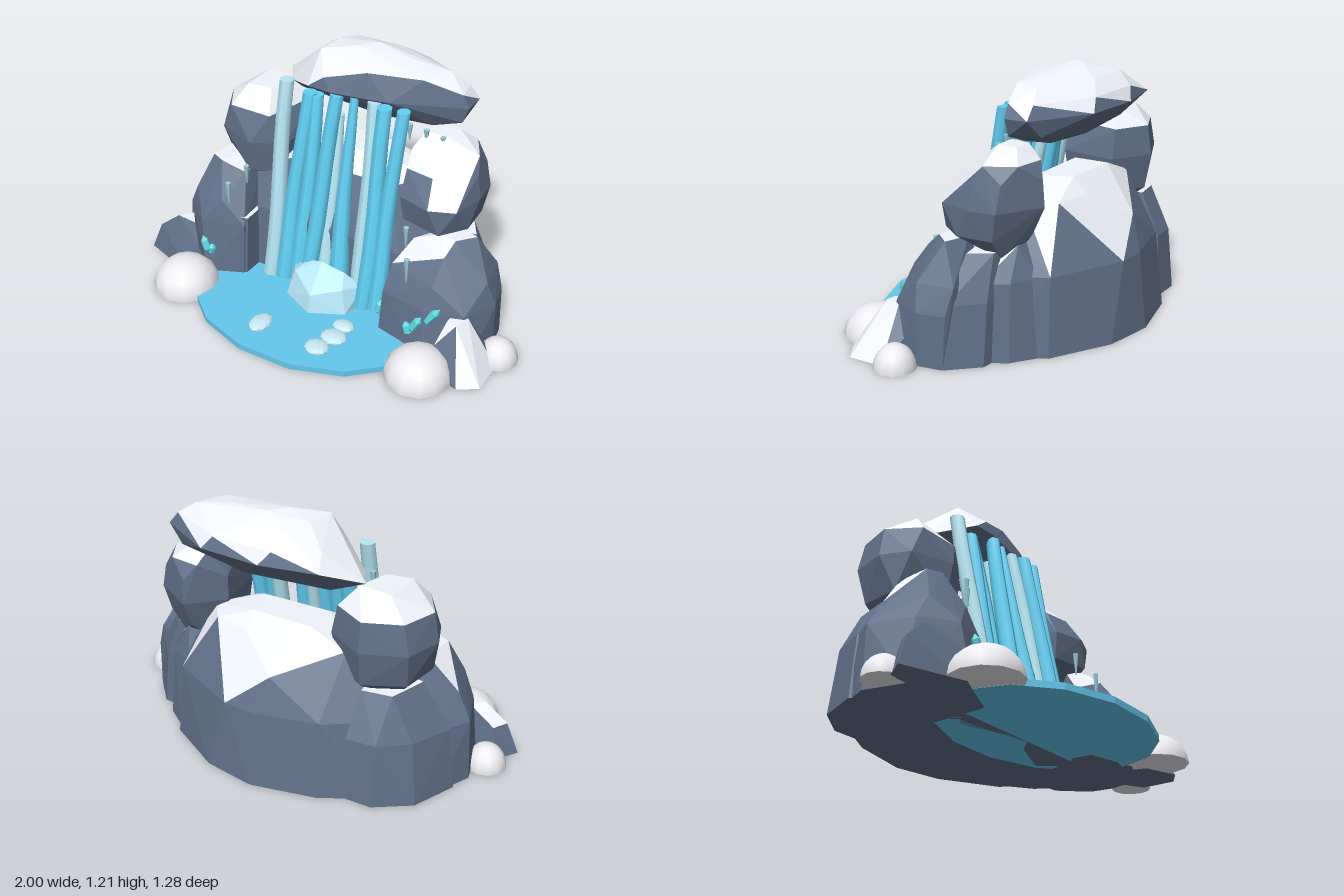
import * as THREE from 'three';
import { ConvexGeometry } from 'three/addons/geometries/ConvexGeometry.js';

const mat = (color, flatShading = true) => new THREE.MeshStandardMaterial({ color, flatShading });
const slate = mat(0x61718a), snow = mat(0xf0f4fc), pebble = mat(0xececf2, false);
const water = mat(0x60d0f4, false), paleWater = mat(0xb4e6f4, false), poolBlue = mat(0x64c8ec);
const foamWhite = mat(0xc8e8f2), ice = mat(0x9accd8), teal = mat(0x60e0e6), splashBlue = mat(0xb8e8fa);

export function createModel() {
  const model = new THREE.Group();
  const add = (name, geometry, material, x = 0, y = 0, z = 0) => {
    const mesh = new THREE.Mesh(geometry, material);
    mesh.name = name;
    mesh.position.set(x, y, z);
    model.add(mesh);
    return mesh;
  };

  // Faceted rock from level rings [y, [x, z], ...]; faces that look upward are snowy
  const rock = (name, rings, snowLine = 0.56) => {
    const points = rings.flatMap(([y, ...ring]) => ring.map(([x, z]) => new THREE.Vector3(x, y, z)));
    const hull = new ConvexGeometry(points);
    const p = hull.attributes.position, n = hull.attributes.normal;
    const sides = [], tops = [];
    for (let i = 0; i < p.count; i += 3) {
      const list = n.getY(i) > snowLine ? tops : sides;
      for (let k = i; k < i + 3; k++) list.push(p.getX(k), p.getY(k), p.getZ(k));
    }
    const geometry = new THREE.BufferGeometry();
    geometry.setAttribute('position', new THREE.Float32BufferAttribute([...sides, ...tops], 3));
    geometry.computeVertexNormals();
    geometry.addGroup(0, sides.length / 3, 0);
    geometry.addGroup(sides.length / 3, tops.length / 3, 1);
    add(name, geometry, [slate, snow]);
  };

  // Cliff behind the falls
  rock('backCliff', [
    [0, [-0.45, 0.07], [0.4, 0.07], [0.6, -0.22], [0.48, -0.44], [0.2, -0.6], [-0.05, -0.645], [-0.36, -0.58], [-0.6, -0.45], [-0.65, -0.2]],
    [0.36, [-0.43, 0.05], [0.35, 0.04], [0.55, -0.22], [0.45, -0.43], [0.1, -0.6], [-0.05, -0.605], [-0.35, -0.54], [-0.56, -0.4]],
    [0.52, [-0.5, -0.06], [-0.52, -0.3], [0.45, -0.25], [-0.1, -0.54]],
    [0.64, [-0.27, -0.06], [0.25, -0.08], [0.37, -0.25], [0.28, -0.37], [0.1, -0.41], [-0.15, -0.42], [-0.38, -0.36]],
    [0.71, [-0.2, -0.18], [0.15, -0.18], [0.1, -0.34], [-0.2, -0.35]],
  ], 0.52);

  // Lower flank rocks
  rock('lowerLeftRock', [
    [0, [-0.88, -0.1], [-0.83, 0.1], [-0.62, 0.26], [-0.44, 0.18], [-0.43, -0.1], [-0.6, -0.3], [-0.8, -0.28]],
    [0.3, [-0.87, -0.1], [-0.8, 0.1], [-0.65, 0.22], [-0.44, 0.16], [-0.46, -0.2], [-0.78, -0.25]],
    [0.42, [-0.8, -0.08], [-0.74, 0.12], [-0.56, 0.17], [-0.48, -0.15]],
    [0.53, [-0.5, 0.04], [-0.5, -0.12]],
    [0.585, [-0.68, 0.05], [-0.61, 0.08], [-0.55, -0.1], [-0.66, -0.12]],
  ]);
  rock('leftShoulderRock', [
    [0, [-0.85, -0.2], [-0.76, -0.41], [-0.6, -0.52], [-0.45, -0.52], [-0.45, -0.1], [-0.7, 0]],
    [0.3, [-0.82, -0.2], [-0.73, -0.39], [-0.6, -0.49], [-0.46, -0.5], [-0.45, -0.1]],
    [0.5, [-0.68, -0.2], [-0.62, -0.38], [-0.48, -0.4], [-0.45, -0.15]],
  ]);
  rock('innerLeftRock', [
    [0, [-0.55, 0.21], [-0.43, 0.17], [-0.42, -0.1], [-0.56, -0.1]],
    [0.34, [-0.54, 0.18], [-0.43, 0.14], [-0.43, -0.1], [-0.55, -0.1]],
  ]);
  rock('lowerRightRock', [
    [0, [0.34, 0.2], [0.6, 0.26], [0.8, 0.15], [0.84, 0], [0.82, -0.12], [0.5, -0.16], [0.32, 0]],
    [0.24, [0.35, 0.18], [0.58, 0.22], [0.76, 0.16], [0.84, 0], [0.81, -0.13], [0.45, -0.15]],
    [0.36, [0.36, 0.11], [0.6, 0.18], [0.8, 0.02], [0.77, -0.15]],
    [0.47, [0.42, 0.02], [0.61, 0.09]],
    [0.53, [0.55, 0], [0.63, 0.02], [0.7, -0.06], [0.58, -0.1]],
  ], 0.68);
  rock('rightShoulderRock', [
    [0, [0.82, -0.12], [0.7, -0.25], [0.4, -0.28], [0.4, -0.05]],
    [0.28, [0.79, -0.12], [0.67, -0.25], [0.4, -0.28]],
    [0.48, [0.66, -0.14], [0.6, -0.24], [0.42, -0.25], [0.45, -0.1]],
  ]);
  rock('rightBackRock', [
    [0, [0.68, -0.2], [0.61, -0.32], [0.5, -0.4], [0.3, -0.35]],
    [0.35, [0.65, -0.2], [0.58, -0.31], [0.45, -0.38], [0.3, -0.3]],
    [0.5, [0.52, -0.24], [0.5, -0.3], [0.35, -0.3]],
  ]);

  // Upper boulders either side of the falls
  rock('upperLeftBoulder', [
    [0.43, [-0.5, -0.14], [-0.58, -0.25], [-0.42, -0.28]],
    [0.53, [-0.69, -0.12], [-0.5, 0.01], [-0.36, -0.06], [-0.33, -0.32], [-0.48, -0.41], [-0.66, -0.32]],
    [0.7, [-0.735, -0.18], [-0.68, -0.04], [-0.48, 0.03], [-0.33, -0.05], [-0.29, -0.33], [-0.48, -0.44], [-0.68, -0.36]],
    [0.84, [-0.71, -0.18], [-0.62, -0.03], [-0.4, -0.03], [-0.32, -0.33], [-0.48, -0.42], [-0.65, -0.35]],
    [0.935, [-0.57, -0.11], [-0.45, -0.13], [-0.4, -0.28], [-0.56, -0.3]],
  ]);
  rock('upperRightBoulder', [
    [0.44, [0.5, -0.15], [0.55, -0.25], [0.4, -0.25]],
    [0.54, [0.35, 0], [0.55, 0.04], [0.64, -0.08], [0.63, -0.25], [0.45, -0.34], [0.32, -0.2]],
    [0.67, [0.34, 0.02], [0.5, 0.06], [0.62, 0.01], [0.66, -0.15], [0.65, -0.28], [0.45, -0.4], [0.3, -0.25]],
    [0.79, [0.34, -0.04], [0.48, -0.02], [0.64, -0.16], [0.62, -0.29], [0.45, -0.39], [0.3, -0.25]],
    [0.86, [0.33, -0.1], [0.62, -0.2], [0.55, -0.33], [0.4, -0.35]],
    [0.92, [0.36, -0.18], [0.47, -0.18], [0.48, -0.28], [0.38, -0.28]],
  ]);

  // Overhanging cap stone with a steep front
  rock('capStone', [
    [0.88, [0, -0.3], [0.2, -0.28]],
    [0.92, [-0.34, -0.24], [0.1, -0.2], [0.36, -0.24], [0.1, -0.4], [-0.3, -0.36]],
    [0.97, [-0.45, -0.32], [-0.38, -0.2], [0.5, -0.25], [0.45, -0.38]],
    [1.05, [-0.2, -0.06], [-0.08, -0.055], [0.2, -0.11], [0.53, -0.25], [0.53, -0.36], [0.25, -0.52], [-0.05, -0.54], [-0.32, -0.49]],
    [1.11, [-0.12, -0.07], [0.5, -0.25], [0.48, -0.36], [0.2, -0.5], [-0.1, -0.51], [-0.28, -0.4]],
    [1.165, [0.08, -0.12], [0.33, -0.19], [0.4, -0.33], [0.1, -0.44], [-0.15, -0.43]],
    [1.19, [-0.2, -0.18], [-0.18, -0.32], [0.22, -0.3]],
    [1.21, [-0.05, -0.26], [0.02, -0.34]],
  ], 0.45);

  // Small rocks at the outer corners
  rock('smallLeftRock', [
    [0, [-1, 0.2], [-0.93, 0.1], [-0.65, 0.08], [-0.6, 0.25], [-0.7, 0.3]],
    [0.15, [-0.94, 0.19], [-0.9, 0.12], [-0.66, 0.25]],
    [0.24, [-0.83, 0.18], [-0.78, 0.12], [-0.72, 0.19]],
  ]);
  rock('smallRightRock', [
    [0, [0.66, 0.3], [0.83, 0.36], [0.92, 0.3], [0.92, 0.13], [0.75, 0.04], [0.62, 0.15]],
    [0.12, [0.67, 0.27], [0.79, 0.29], [0.66, 0.1], [0.8, 0.07]],
    [0.23, [0.7, 0.21], [0.75, 0.22], [0.77, 0.14], [0.7, 0.12]],
  ], 0.5);

  // Smooth half-round stones
  for (const [x, z, r, h] of [[-0.66, 0.36, 0.165, 0.15], [0.64, 0.36, 0.16, 0.145], [-0.905, 0.04, 0.095, 0.11], [0.9, 0.07, 0.095, 0.11]]) {
    add('roundStone', new THREE.SphereGeometry(1, 12, 5, 0, Math.PI * 2, 0, Math.PI / 2), pebble, x, 0, z).scale.set(r, h, r);
    add('roundStoneBase', new THREE.CircleGeometry(r, 12).rotateX(Math.PI / 2), pebble, x, 0.001, z);
  }

  // Pool
  const pool = add('pool', new THREE.CylinderGeometry(1, 1, 0.03, 14).rotateY(-0.2), poolBlue, -0.03, 0.015, 0.22);
  pool.scale.set(0.61, 1, 0.425);

  // Falling streams: [top x, bottom x, top y, top radius, bottom radius, pale]
  const streams = [
    [-0.325, -0.315, 1.04, 0.035, 0.044, 1], [-0.215, -0.25, 1.0, 0.034, 0.05, 0], [-0.175, -0.175, 0.99, 0.032, 0.046, 0],
    [-0.05, -0.115, 1.04, 0.034, 0.046, 0], [0.025, 0.05, 1.04, 0.02, 0.054, 0], [0.13, 0.16, 1.04, 0.034, 0.04, 1],
    [0.2, 0.21, 1.04, 0.036, 0.045, 0], [0.28, 0.265, 1.04, 0.032, 0.045, 0], [-0.06, -0.03, 0.92, 0.026, 0.045, 1],
  ];
  streams.forEach(([topX, bottomX, topY, topR, bottomR, pale], i) => {
    const height = topY - 0.05;
    const geometry = new THREE.CylinderGeometry(topR, bottomR, height, 8, 6);
    const p = geometry.attributes.position;
    for (let k = 0; k < p.count; k++) {
      const t = p.getY(k) / height + 0.5;
      const sway = 0.006 * Math.sin(t * 6 + i * 2);
      p.setX(k, p.getX(k) + bottomX + (topX - bottomX) * t + sway);
      p.setZ(k, p.getZ(k) + 0.11 - 0.19 * t - 0.014 * (i % 3));
    }
    geometry.computeVertexNormals();
    add('stream', geometry, pale ? paleWater : water, 0, 0.05 + height / 2, 0);
  });

  // Splash mound where the water lands
  const splash = [[-0.21, 0.03, 0.06], [-0.17, 0.03, 0.2], [0, 0.03, 0.28], [0.16, 0.03, 0.2], [0.19, 0.03, 0.06],
    [-0.2, 0.12, 0.08], [-0.14, 0.16, 0.17], [0, 0.12, 0.26], [0.13, 0.15, 0.18], [0.19, 0.13, 0.08],
    [-0.1, 0.2, 0.11], [-0.02, 0.225, 0.12], [0.1, 0.2, 0.11]];
  add('splash', new ConvexGeometry(splash.map((v) => new THREE.Vector3(...v))), splashBlue);

  // Foam patches on the pool
  for (const [x, z, a, b] of [[-0.15, 0.46, 0.05, 0.07], [0.2, 0.28, 0.055, 0.045], [0.2, 0.37, 0.065, 0.055], [0.17, 0.47, 0.06, 0.055]]) {
    add('foam', new THREE.IcosahedronGeometry(1, 1), foamWhite, x, 0.035, z).scale.set(a, 0.02, b);
  }

  // Icicles: [x, top y, z, length]
  const icicles = [[-0.48, 0.93, -0.17, 0.08], [-0.4, 0.95, -0.16, 0.09], [0.29, 0.95, -0.15, 0.08], [0.37, 0.94, -0.16, 0.07],
    [0.45, 0.92, -0.17, 0.07], [-0.53, 0.52, 0.15, 0.14], [-0.46, 0.61, 0.09, 0.1], [0.41, 0.56, 0.08, 0.11], [0.46, 0.45, 0.16, 0.13]];
  for (const [x, y, z, length] of icicles) {
    add('icicle', new THREE.CylinderGeometry(0.014, 0.003, length, 6), ice, x, y - length / 2, z);
  }

  // Crystals: [x, y, z, half height, tilt]
  const crystals = [[-0.6, 0.2, 0.265, 0.05, 0.35], [-0.58, 0.17, 0.25, 0.035, -0.3], [0.62, 0.22, 0.21, 0.075, -0.6],
    [0.56, 0.18, 0.25, 0.06, -0.5], [0.52, 0.14, 0.25, 0.04, 0.3], [0.33, 0.13, 0.17, 0.045, -0.15]];
  for (const [x, y, z, h, tilt] of crystals) {
    const crystal = add('crystal', new THREE.SphereGeometry(1, 6, 3), teal, x, y, z);
    crystal.scale.set(0.022, h, 0.022);
    crystal.rotation.z = tilt;
  }
  return model;
}
